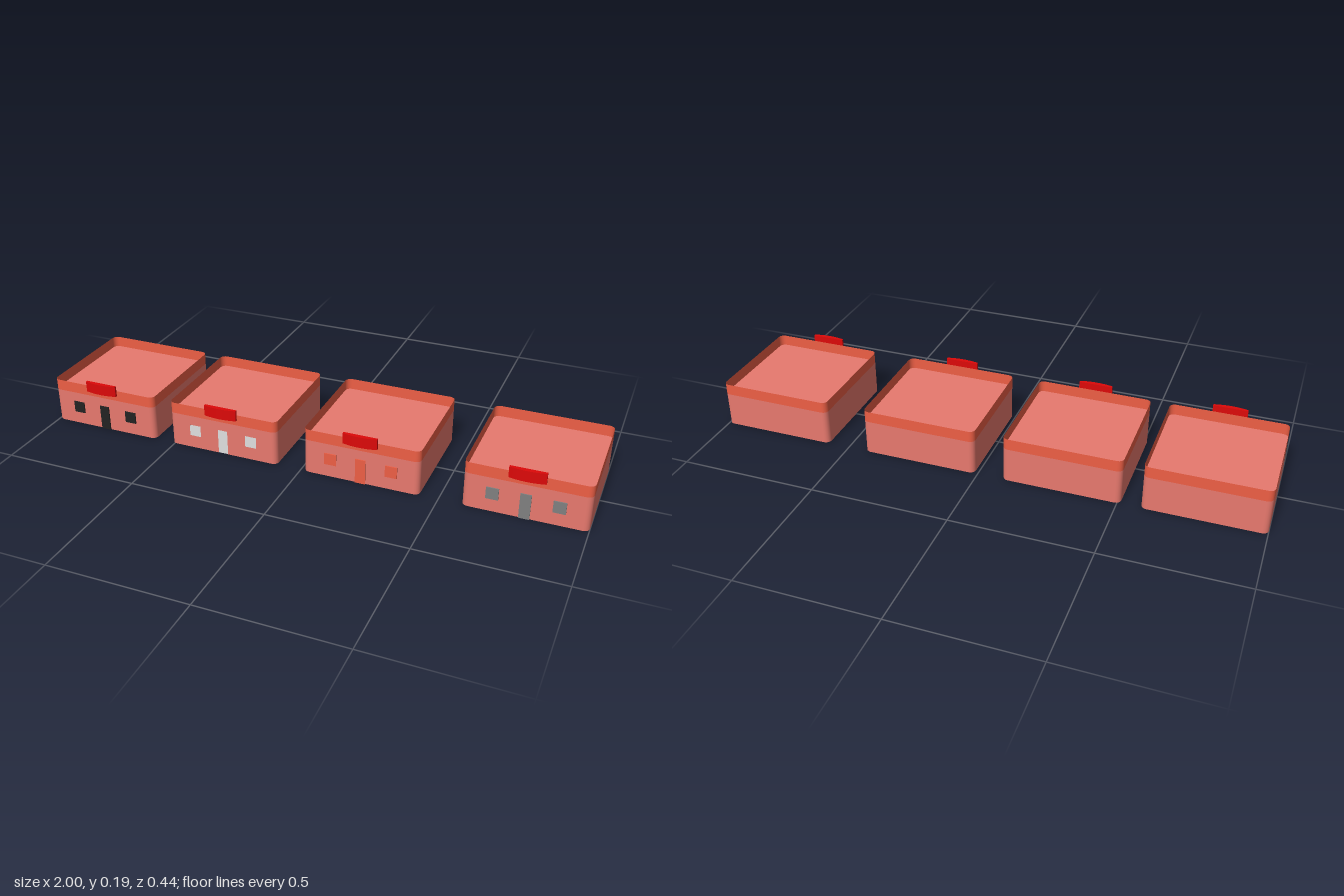
import * as THREE from 'three';

const HALF = 0.21, R = 0.02, ROOF = 0.127, TOP = 0.168;
const DOOR = { x: 0, y: 0, w: 0.037, h: 0.093 };
const WINDOWS = [-0.11, 0.11].map((x) => ({ x, y: 0.048, w: 0.043, h: 0.043 }));

const paint = (color, side = THREE.DoubleSide) => new THREE.MeshStandardMaterial({ color, side });
const PINK = paint(0xe8796e), ORANGE = paint(0xee5f45), RED = paint(0xdd0808, THREE.FrontSide);
const GREY = paint(0x808080), FLOOR = paint(0xcccccc), BLACK = paint(0x222222);

function part(name, geometry, material, x = 0, y = 0, z = 0) {
  const mesh = new THREE.Mesh(geometry, material);
  mesh.name = name;
  mesh.position.set(x, y, z);
  return mesh;
}

// Rounded square footprint, starting at the front and running round through +x
function footprint() {
  const points = [], steps = 4, c = HALF - R;
  [[1, 1], [1, -1], [-1, -1], [-1, 1]].forEach(([sx, sz], k) => {
    for (let i = 0; i <= steps; i++) {
      const a = (k + i / steps) * Math.PI / 2;
      const nx = Math.sin(a), nz = Math.cos(a);
      points.push({ x: sx * c + R * nx, z: sz * c + R * nz, nx, nz });
    }
  });
  return points;
}

// Thin vertical band that follows the footprint
function band(y0, y1, closed) {
  const loop = footprint();
  if (closed) loop.push(loop[0]);
  const pos = [], nor = [], idx = [];
  loop.forEach((p, i) => {
    pos.push(p.x, y0, p.z, p.x, y1, p.z);
    nor.push(p.nx, 0, p.nz, p.nx, 0, p.nz);
    if (i < loop.length - 1) {
      const a = 2 * i;
      idx.push(a, a + 2, a + 3, a, a + 3, a + 1);
    }
  });
  const g = new THREE.BufferGeometry();
  g.setAttribute('position', new THREE.Float32BufferAttribute(pos, 3));
  g.setAttribute('normal', new THREE.Float32BufferAttribute(nor, 3));
  g.setIndex(idx);
  return g;
}

// Horizontal slab surface, facing up
function slab() {
  const shape = new THREE.Shape(footprint().map((p) => new THREE.Vector2(p.x, -p.z)));
  return new THREE.ShapeGeometry(shape).rotateX(-Math.PI / 2);
}

// Flat front with a door notch and two window holes
function frontWall() {
  const c = HALF - R, d = DOOR.w / 2;
  const shape = new THREE.Shape([
    [-c, 0], [-d, 0], [-d, DOOR.h], [d, DOOR.h], [d, 0], [c, 0], [c, ROOF], [-c, ROOF],
  ].map(([x, y]) => new THREE.Vector2(x, y)));
  for (const { x, y, w, h } of WINDOWS) {
    shape.holes.push(new THREE.Path([
      [x - w / 2, y], [x - w / 2, y + h], [x + w / 2, y + h], [x + w / 2, y],
    ].map(([px, py]) => new THREE.Vector2(px, py))));
  }
  return new THREE.ShapeGeometry(shape);
}

// Sign board with a bowed face
function signBoard() {
  const w = 0.0615;
  const shape = new THREE.Shape();
  shape.moveTo(-w, 0.008);
  shape.lineTo(-w, 0);
  shape.quadraticCurveTo(0, -0.016, w, 0);
  shape.lineTo(w, 0.008);
  shape.closePath();
  return new THREE.ExtrudeGeometry(shape, { depth: 0.04, bevelEnabled: false, curveSegments: 10 })
    .rotateX(-Math.PI / 2);
}

function building(x, fill) {
  const g = new THREE.Group();
  g.name = 'building';
  g.position.set(x, 0, -0.01);
  g.add(
    part('sideAndBackWalls', band(0, ROOF, false), PINK),
    part('frontWall', frontWall(), PINK, 0, 0, HALF),
    part('parapet', band(ROOF, TOP, true), ORANGE),
    part('roof', slab(), PINK, 0, ROOF, 0),
    part('sign', signBoard(), RED, 0, 0.15, HALF + 0.012),
  );
  if (!fill) {
    // open doorway and windows, with a floor inside
    g.add(part('floor', slab(), FLOOR, 0, 0.001, 0));
    return g;
  }
  [DOOR, ...WINDOWS].forEach((o, i) => {
    const name = i ? 'window' : 'door', y = o.y + o.h / 2;
    g.add(
      part(name, new THREE.BoxGeometry(o.w, o.h, 0.004), fill, o.x, y, HALF + 0.002),
      part(name + 'Lining', new THREE.PlaneGeometry(o.w, o.h), GREY, o.x, y, HALF - 0.001),
    );
  });
  return g;
}

export function createModel() {
  const model = new THREE.Group();
  model.name = 'buildingRow';
  model.add(
    building(-0.79, BLACK),
    building(-0.301, null),
    building(0.223, ORANGE),
    building(0.79, GREY),
  );
  return model;
}
